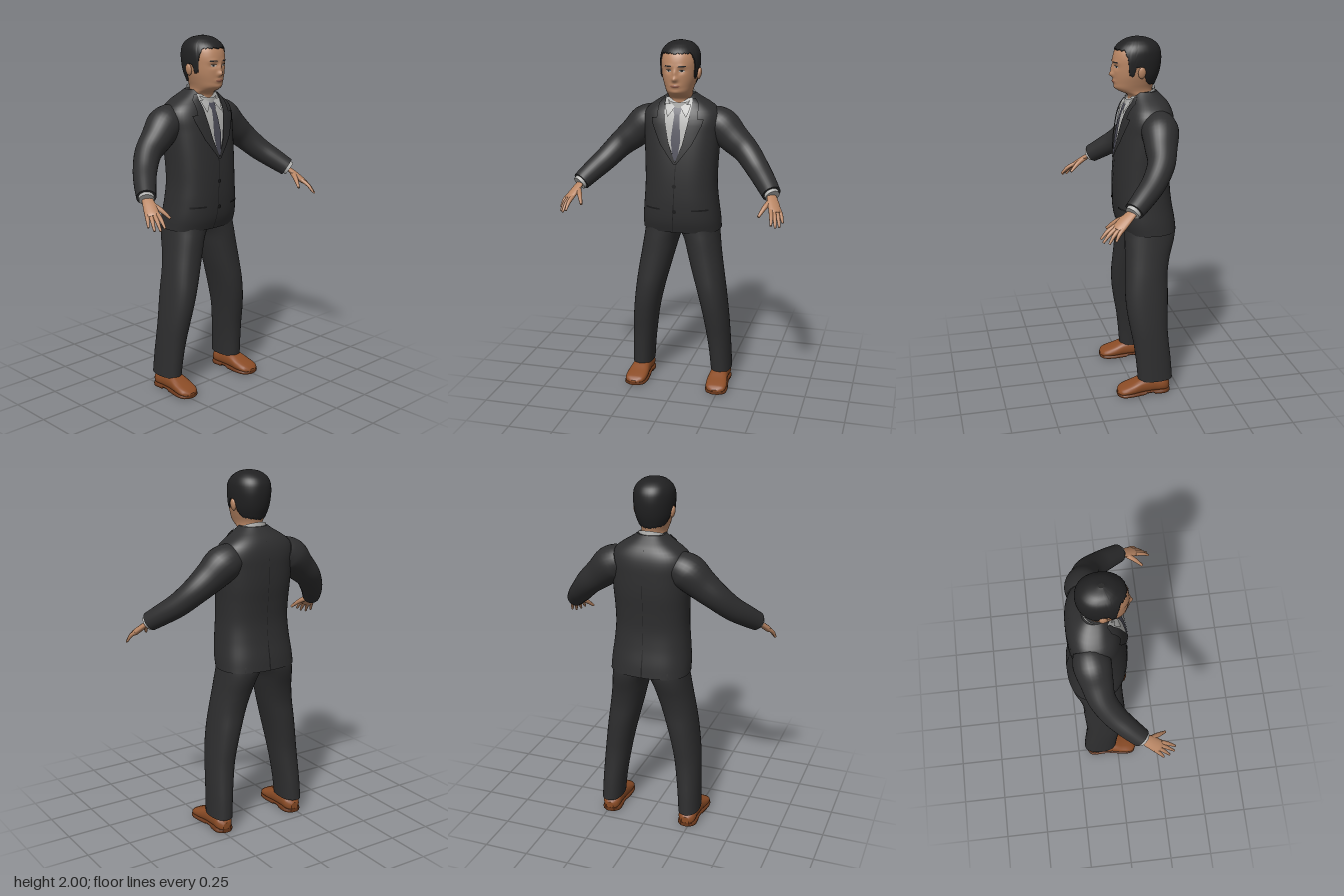
import * as THREE from 'three';

const mat = (name, color) => {
  const m = new THREE.MeshStandardMaterial({ color, side: THREE.DoubleSide });
  m.name = name;
  return m;
};
const V = (x, y, z) => new THREE.Vector3(x, y, z);
const spow = (v, e) => Math.sign(v) * Math.abs(v) ** e;
const gauss = (v) => Math.exp(-v * v);

// Skin a list of closed rings, with flat caps at both ends
function skin(rings, caps = true) {
  const n = rings[0].length, pos = [], idx = [];
  rings.forEach((r) => r.forEach((p) => pos.push(p.x, p.y, p.z)));
  for (let i = 0; i < rings.length - 1; i++)
    for (let j = 0; j < n; j++) {
      const k = (j + 1) % n, a = i * n, b = a + n;
      idx.push(a + j, a + k, b + k, a + j, b + k, b + j);
    }
  if (caps) [0, rings.length - 1].forEach((e) => {
    const r = rings[e], base = pos.length / 3, c = V(0, 0, 0);
    r.forEach((p) => { pos.push(p.x, p.y, p.z); c.addScaledVector(p, 1 / n); });
    pos.push(c.x, c.y, c.z);
    for (let j = 0; j < n; j++) {
      const k = (j + 1) % n;
      idx.push(base + n, base + (e ? j : k), base + (e ? k : j));
    }
  });
  return finish(pos, idx);
}
function finish(pos, idx) {
  const g = new THREE.BufferGeometry();
  g.setAttribute('position', new THREE.Float32BufferAttribute(pos, 3));
  g.setIndex(idx);
  g.computeVertexNormals();
  return g;
}

// Smooth profile: rows [t, ...values] in ascending t
function profile(rows) {
  const w = rows[0].length - 1;
  const it = new THREE.CubicInterpolant(rows.map((r) => r[0]), rows.flatMap((r) => r.slice(1)), w, new Float32Array(w));
  return (t) => Array.from(it.evaluate(t));
}
// Upright body whose rows are [y, xLeft, xRight, zFront, zBack]
function body(rows, e) {
  const f = profile(rows);
  const point = (y, a) => {
    const [x0, x1, zf, zb] = f(y);
    return V((x0 + x1) / 2 + (x1 - x0) / 2 * spow(Math.sin(a), e), y, (zf + zb) / 2 + (zf - zb) / 2 * spow(Math.cos(a), e));
  };
  const z = (x, y, side = 1) => {
    const [x0, x1, zf, zb] = f(y);
    const s = Math.min(1, Math.abs((x - (x0 + x1) / 2) / ((x1 - x0) / 2)) ** (1 / e));
    return (zf + zb) / 2 + side * (zf - zb) / 2 * Math.sqrt(1 - s * s) ** e;
  };
  return { point, z, y0: rows[0][0], y1: rows[rows.length - 1][0] };
}
const around = (n, fn) => Array.from({ length: n }, (_, j) => fn(j / n * Math.PI * 2, j));
const bodyRings = (b, steps, n, fn = b.point) =>
  Array.from({ length: steps + 1 }, (_, i) => around(n, (a) => fn(b.y0 + (b.y1 - b.y0) * i / steps, a)));

// Limb along a path with varying radius; wide sets the flat section's broad axis
function limb(pts, radii, steps = 16, n = 20, wide, flat = 1) {
  const c = new THREE.CatmullRomCurve3(pts.map((p) => V(...p)));
  const fr = c.computeFrenetFrames(steps, false);
  const rad = profile(radii.map((r, i) => [i / (radii.length - 1), r]));
  return skin(Array.from({ length: steps + 1 }, (_, i) => {
    const p = c.getPoint(i / steps), r = rad(i / steps)[0], T = fr.tangents[i];
    let N = fr.normals[i], B = fr.binormals[i];
    if (wide) {
      B = wide.clone().addScaledVector(T, -wide.dot(T)).normalize();
      N = B.clone().cross(T);
    }
    return around(n, (a) => p.clone().addScaledVector(N, Math.cos(a) * r * flat).addScaledVector(B, Math.sin(a) * r));
  }));
}

// Thin plate lying on a surface; rows are [y, xLeft, xRight]
function patch(zAt, rows, off, side = 1) {
  const pos = [], idx = [], cols = 10, sub = 5, n = (rows.length - 1) * sub;
  for (let i = 0; i <= n; i++) {
    const k = Math.min(rows.length - 2, Math.floor(i / sub)), t = i / sub - k;
    const [y, a, b] = rows[k].map((v, q) => v + (rows[k + 1][q] - v) * t);
    for (let j = 0; j <= cols; j++) {
      const x = a + (b - a) * j / cols;
      pos.push(x, y, zAt(x, y, side) + off * side);
      if (i < n && j < cols) {
        const p = i * (cols + 1) + j, q = p + cols + 1;
        idx.push(...(side > 0 ? [p, p + 1, q + 1, p, q + 1, q] : [p, q + 1, p + 1, p, q, q + 1]));
      }
    }
  }
  return finish(pos, idx);
}
const oval = (x, y, w, h) => Array.from({ length: 9 }, (_, i) => {
  const s = -1 + i / 4, r = w * Math.sqrt(1 - s * s);
  return [y + s * h, x - r, x + r];
});
// Geometry reflected across x = 0
function mirror(g) {
  const m = g.clone().scale(-1, 1, 1), a = m.index.array;
  for (let i = 0; i < a.length; i += 3) [a[i], a[i + 1]] = [a[i + 1], a[i]];
  m.computeVertexNormals();
  return m;
}

export function createModel() {
  const model = new THREE.Group();
  model.name = 'manInSuit';
  const suit = mat('suit charcoal', 0x2e2e2f), seam = mat('seam black', 0x1a1a1b), skinM = mat('skin', 0xb98664);
  const hairM = mat('hair black', 0x212122), shirt = mat('shirt grey', 0xb2b2b0), tieM = mat('tie slate', 0x4d4d59);
  const leather = mat('shoe brown', 0x8b4c26), soleM = mat('sole brown', 0x6b381b);
  const eyeM = mat('eye white', 0xbdb5ac), lipM = mat('lips', 0x955f4c);
  const add = (name, g, m) => {
    const mesh = new THREE.Mesh(g, m);
    mesh.name = name;
    model.add(mesh);
  };
  const pair = (name, g, m) => {
    add(name + 'Left', g, m);
    add(name + 'Right', mirror(g), m);
  };

  // Jacket
  const torso = body([
    [0.94, 0.222, 0.045, -0.265], [1.0, 0.22, 0.065, -0.258], [1.1, 0.21, 0.075, -0.24], [1.2, 0.202, 0.075, -0.23],
    [1.3, 0.203, 0.07, -0.235], [1.4, 0.208, 0.06, -0.245], [1.5, 0.213, 0.045, -0.247], [1.57, 0.218, 0.03, -0.244],
    [1.62, 0.2, 0.012, -0.232], [1.66, 0.15, -0.01, -0.21], [1.69, 0.1, -0.02, -0.18], [1.71, 0.075, -0.03, -0.16],
  ].map(([y, r, f, b]) => [y, -r, r, f, b]), 0.8);
  add('jacket', skin(bodyRings(torso, 44, 48)), suit);
  add('shirtFront', patch(torso.z, [[1.35, 0, 0.001], [1.45, -0.04, 0.04], [1.6, -0.075, 0.075], [1.69, -0.075, 0.075]], 0.005), shirt);
  add('tie', patch(torso.z, [[1.36, -0.012, 0.012], [1.47, -0.027, 0.027], [1.605, -0.014, 0.014], [1.61, -0.018, 0.018], [1.655, -0.026, 0.026]], 0.011), tieM);
  pair('shirtCollarWing', patch(torso.z, [[1.595, 0.05, 0.053], [1.625, 0.027, 0.065], [1.66, 0.012, 0.072]], 0.014), shirt);
  pair('lapel', patch(torso.z, [[1.34, -0.004, 0.006], [1.45, 0.038, 0.088], [1.55, 0.06, 0.135], [1.578, 0.066, 0.142], [1.584, 0.066, 0.115], [1.66, 0.076, 0.112], [1.69, 0.074, 0.088]], 0.013), suit);
  pair('lapelEdge', patch(torso.z, [[1.34, 0.005, 0.008], [1.45, 0.087, 0.091], [1.55, 0.134, 0.138], [1.578, 0.141, 0.145], [1.584, 0.112, 0.145]], 0.0135), seam);
  add('frontEdge', patch(torso.z, [[0.942, -0.025, -0.021], [1.05, -0.014, -0.01], [1.34, 0, 0.004]], 0.003), seam);
  [1.07, 1.215].forEach((y) => add('jacketButton', patch(torso.z, oval(-0.004, y, 0.012, 0.012), 0.007), seam));
  pair('pocketFlap', patch(torso.z, [[1.074, 0.09, 0.178], [1.084, 0.09, 0.178]], 0.004), seam);
  add('backSeam', patch(torso.z, [[0.942, -0.004, 0.004], [1.06, -0.003, 0.003], [1.1, -0.001, 0.001], [1.65, -0.001, 0.001]], 0.003, -1), seam);

  // Sleeves and shirt cuffs
  pair('sleeve', limb([[0.15, 1.555, -0.135], [0.21, 1.53, -0.13], [0.29, 1.46, -0.115], [0.365, 1.395, -0.095], [0.435, 1.32, -0.04], [0.49, 1.265, 0.025], [0.538, 1.215, 0.09]],
    [0.085, 0.1, 0.086, 0.073, 0.065, 0.059, 0.052], 28, 28), suit);
  pair('cuff', limb([[0.53, 1.223, 0.08], [0.546, 1.205, 0.102]], [0.042, 0.04], 2, 24), shirt);

  // Hands
  const wide = V(0.05, -0.004, -0.05).normalize();
  pair('palm', limb([[0.537, 1.213, 0.09], [0.554, 1.182, 0.132], [0.574, 1.146, 0.176], [0.58, 1.136, 0.188]], [0.026, 0.034, 0.037, 0.03], 10, 16, wide, 0.46), skinM);
  [[0.568, 1.09, 0.27], [0.59, 1.078, 0.262], [0.608, 1.076, 0.235], [0.62, 1.09, 0.202]].forEach((tip, i) => {
    const base = V(0.572, 1.15, 0.173).addScaledVector(wide, (i - 1.5) * 0.018);
    const mid = base.clone().lerp(V(...tip), 0.5).add(V(0.002, 0.006, 0.003));
    pair('finger', limb([base.toArray(), mid.toArray(), tip], [0.0115, 0.0105, 0.006], 8, 10), skinM);
  });
  pair('thumb', limb([[0.545, 1.19, 0.125], [0.517, 1.16, 0.18], [0.493, 1.12, 0.225]], [0.016, 0.013, 0.007], 8, 10), skinM);

  // Trousers
  const leg = body([
    [0.085, 0.178, 0.296, -0.01, -0.208], [0.2, 0.168, 0.292, 0, -0.2], [0.3, 0.155, 0.288, 0.012, -0.19],
    [0.4, 0.14, 0.282, 0.03, -0.184], [0.5, 0.12, 0.272, 0.045, -0.188], [0.6, 0.095, 0.26, 0.05, -0.192],
    [0.7, 0.067, 0.246, 0.045, -0.194], [0.8, 0.04, 0.23, 0.04, -0.212], [0.9, 0.01, 0.216, 0.037, -0.242],
    [0.95, -0.02, 0.21, 0.035, -0.25], [1.02, -0.04, 0.2, 0.035, -0.24],
  ], 0.88);
  pair('trouserLeg', skin(bodyRings(leg, 36, 32)), suit);

  // Shoes: rows [z, centreX, halfWidth, top]
  const shoe = [[-0.19, 0.235, 0.022, 0.06], [-0.175, 0.235, 0.042, 0.08], [-0.1, 0.235, 0.05, 0.102], [-0.03, 0.236, 0.054, 0.098],
    [0.03, 0.239, 0.061, 0.074], [0.08, 0.242, 0.057, 0.056], [0.103, 0.243, 0.042, 0.045], [0.112, 0.243, 0.02, 0.034]];
  const shoePart = (grow, low, top) => {
    const f = profile(shoe);
    return skin(Array.from({ length: 25 }, (_, i) => {
      const z = -0.19 + 0.302 * i / 24, [x, w, h] = f(z), hi = top ?? h, lo = low(z);
      return around(20, (a) => V(x + (w + grow) * spow(Math.cos(a), 0.7), (hi + lo) / 2 + (hi - lo) / 2 * spow(Math.sin(a), top ? 0.3 : 0.8), z * (1 + grow)));
    }));
  };
  pair('shoe', shoePart(0, () => 0.012), leather);
  pair('sole', shoePart(0.004, (z) => (z < -0.09 ? 0 : z < -0.05 ? 0.013 : 0.004), 0.024), soleM);

  // Head and neck, with facial relief added to the front
  const head = body([
    [1.6, 0.074, -0.02, -0.14], [1.66, 0.07, -0.008, -0.14], [1.695, 0.068, 0.004, -0.137], [1.712, 0.066, 0.042, -0.137], [1.73, 0.07, 0.066, -0.14],
    [1.76, 0.08, 0.072, -0.15], [1.8, 0.092, 0.076, -0.165], [1.85, 0.099, 0.077, -0.175], [1.9, 0.101, 0.074, -0.177],
    [1.94, 0.094, 0.058, -0.168], [1.97, 0.073, 0.028, -0.142], [1.988, 0.042, -0.01, -0.102], [1.994, 0.012, -0.04, -0.068],
  ].map(([y, r, f, b]) => [y, -r, r, f, b]), 0.93);
  const relief = (x, y) => {
    const ax = Math.abs(x);
    return 0.021 * gauss(x / 0.015) * gauss((y - 1.803) / 0.014) + 0.012 * gauss(x / 0.012) * gauss((y - 1.835) / 0.024)
      - 0.008 * gauss((ax - 0.036) / 0.02) * gauss((y - 1.846) / 0.013) + 0.004 * gauss((ax - 0.036) / 0.025) * gauss((y - 1.872) / 0.01)
      + 0.008 * gauss(x / 0.025) * gauss((y - 1.766) / 0.011) + 0.005 * gauss(x / 0.025) * gauss((y - 1.73) / 0.012);
  };
  const headPoint = (y, a) => {
    const p = head.point(y, a);
    p.z += relief(p.x, y) * Math.max(0, Math.cos(a)) ** 0.5;
    return p;
  };
  const faceZ = (x, y) => head.z(x, y) + relief(x, y);
  add('head', skin(bodyRings(head, 64, 96, headPoint)), skinM);
  pair('ear', new THREE.SphereGeometry(1, 16, 12).scale(0.012, 0.032, 0.021).rotateZ(-0.15).translate(0.103, 1.822, -0.058), skinM);
  pair('eye', patch(faceZ, oval(0.036, 1.847, 0.015, 0.006), 0.002), eyeM);
  pair('iris', patch(faceZ, oval(0.036, 1.847, 0.006, 0.0058), 0.003), hairM);
  pair('eyelid', patch(faceZ, [[1.851, 0.02, 0.053], [1.8545, 0.024, 0.049]], 0.0035), hairM);
  pair('eyebrow', patch(faceZ, [[1.869, 0.016, 0.06], [1.876, 0.022, 0.056]], 0.002), hairM);
  add('lips', patch(faceZ, oval(0, 1.766, 0.026, 0.008), 0.0015), lipM);

  // Hair cap with a ragged hairline: [angle from front, height]
  const line = [[0, 1.938], [0.85, 1.938], [1.08, 1.9], [1.18, 1.81], [1.36, 1.8], [1.45, 1.853], [1.7, 1.85], [1.85, 1.79], [2.1, 1.757], [3.15, 1.745]];
  const hairline = (a, j) => {
    const s = Math.min(a, Math.PI * 2 - a), k = line.findIndex((p) => p[0] > s);
    const [p, q] = [line[k - 1], line[k]];
    return p[1] + (q[1] - p[1]) * (s - p[0]) / (q[0] - p[0]) + ((j * 7) % 5 - 2) * 0.002;
  };
  add('hair', skin(Array.from({ length: 27 }, (_, i) => around(96, (a, j) => {
    const t = Math.max(0, i - 1) / 25, h = hairline(a, j);
    const p = head.point(h + (1.994 - h) * Math.sin(t * Math.PI / 2), a), k = i ? 1.065 : 0.98;
    return V(p.x * k, p.y + (i ? 0.006 * t : 0), -0.052 + (p.z + 0.052) * k);
  }))), hairM);

  // Shirt collar band, higher at the nape
  const collar = body([[1.63, -0.084, 0.084, 0.016, -0.16], [1.7, -0.077, 0.077, 0.01, -0.152]], 0.95);
  add('shirtCollar', skin(bodyRings(collar, 4, 40, (y, a) => {
    const p = collar.point(y, a);
    p.y -= (p.z + 0.07) * 0.4;
    return p;
  }), false), shirt);

  return model;
}
